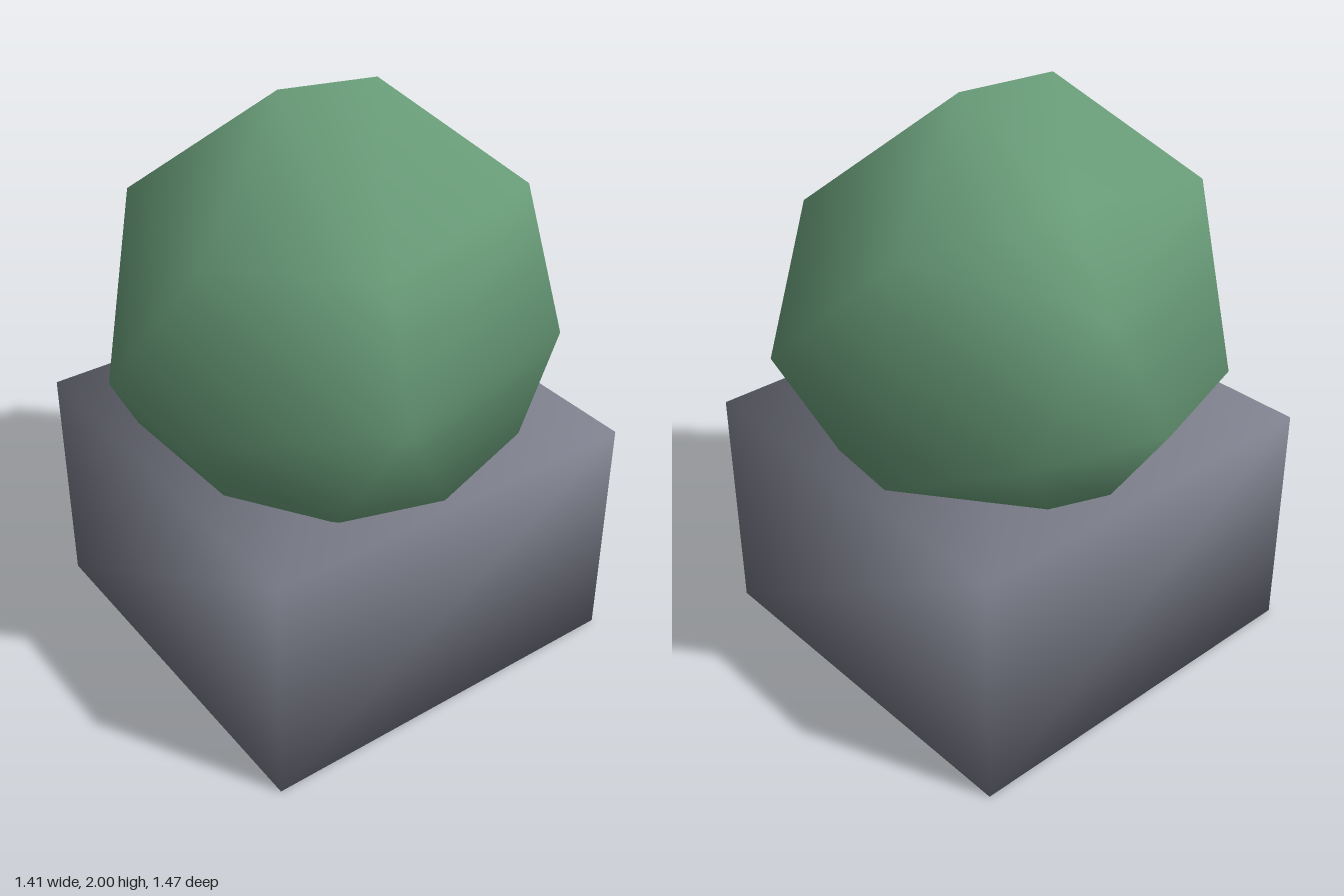
import * as THREE from 'three';
import { mergeVertices } from 'three/addons/utils/BufferGeometryUtils.js';
import { ConvexGeometry } from 'three/addons/geometries/ConvexGeometry.js';

const BASE_TOP = 0.83;
const CENTRE = new THREE.Vector3(0, 1.235, 0);

// Corners of the faceted ball, from crown to the seam with the base
function ballCorners() {
  const crown = [[-0.16, 2.0, -0.04], [0.16, 1.99, 0.03]];
  const shoulder = [
    [0.6, 1.65, -0.19], [0.53, 1.65, 0.34], [-0.22, 1.65, 0.6],
    [-0.6, 1.65, 0.2], [-0.51, 1.65, -0.37],
    [0.17, 1.78, -0.49], [0.22, 1.53, -0.67],
  ];
  const belly = [[0.65, 1.1, 0.42], [-0.24, 1.22, 0.73]];
  // regular back part of the belly ring
  for (const deg of [108, 144, 180, 216, 252, 288]) {
    const a = THREE.MathUtils.degToRad(deg);
    belly.push([0.74 * Math.sin(a), 1.07, 0.74 * Math.cos(a)]);
  }
  const seam = [
    [-0.35, 0.53], [-0.01, 0.635], [0.41, 0.5], [0.57, 0.167], [0.6, -0.1],
    [0.29, -0.52], [0.1, -0.59], [-0.41, -0.44], [-0.57, -0.3], [-0.554, 0.21],
  ].map(([x, z]) => [x, BASE_TOP - 0.01, z]);
  return [...crown, ...shoulder, ...belly, ...seam].map((p) => new THREE.Vector3(...p));
}

// Few faces, but shaded like a round ball
function ballGeometry() {
  const geometry = new ConvexGeometry(ballCorners());
  const position = geometry.attributes.position;
  const normal = geometry.attributes.normal;
  const v = new THREE.Vector3();
  for (let i = 0; i < position.count; i++) {
    v.fromBufferAttribute(position, i).sub(CENTRE).normalize();
    normal.setXYZ(i, v.x, v.y, v.z);
  }
  return geometry;
}

// Box whose corners share one smooth normal each
function smoothBox(w, h, d) {
  let geometry = new THREE.BoxGeometry(w, h, d);
  geometry.deleteAttribute('normal');
  geometry.deleteAttribute('uv');
  geometry.clearGroups();
  geometry = mergeVertices(geometry);
  geometry.computeVertexNormals();
  return geometry;
}

export function createModel() {
  const model = new THREE.Group();
  model.name = 'potShrub';

  const stone = new THREE.MeshStandardMaterial({ color: 0x7e808d });
  stone.name = 'greyStone';
  const leaf = new THREE.MeshStandardMaterial({ color: 0x6b9f7b });
  leaf.name = 'leafGreen';

  // Square planter
  const planter = new THREE.Mesh(smoothBox(1.365, BASE_TOP, 1.365), stone);
  planter.name = 'planter';
  planter.position.y = BASE_TOP / 2;

  // Clipped round bush
  const bush = new THREE.Mesh(ballGeometry(), leaf);
  bush.name = 'bush';

  model.add(planter, bush);
  return model;
}
